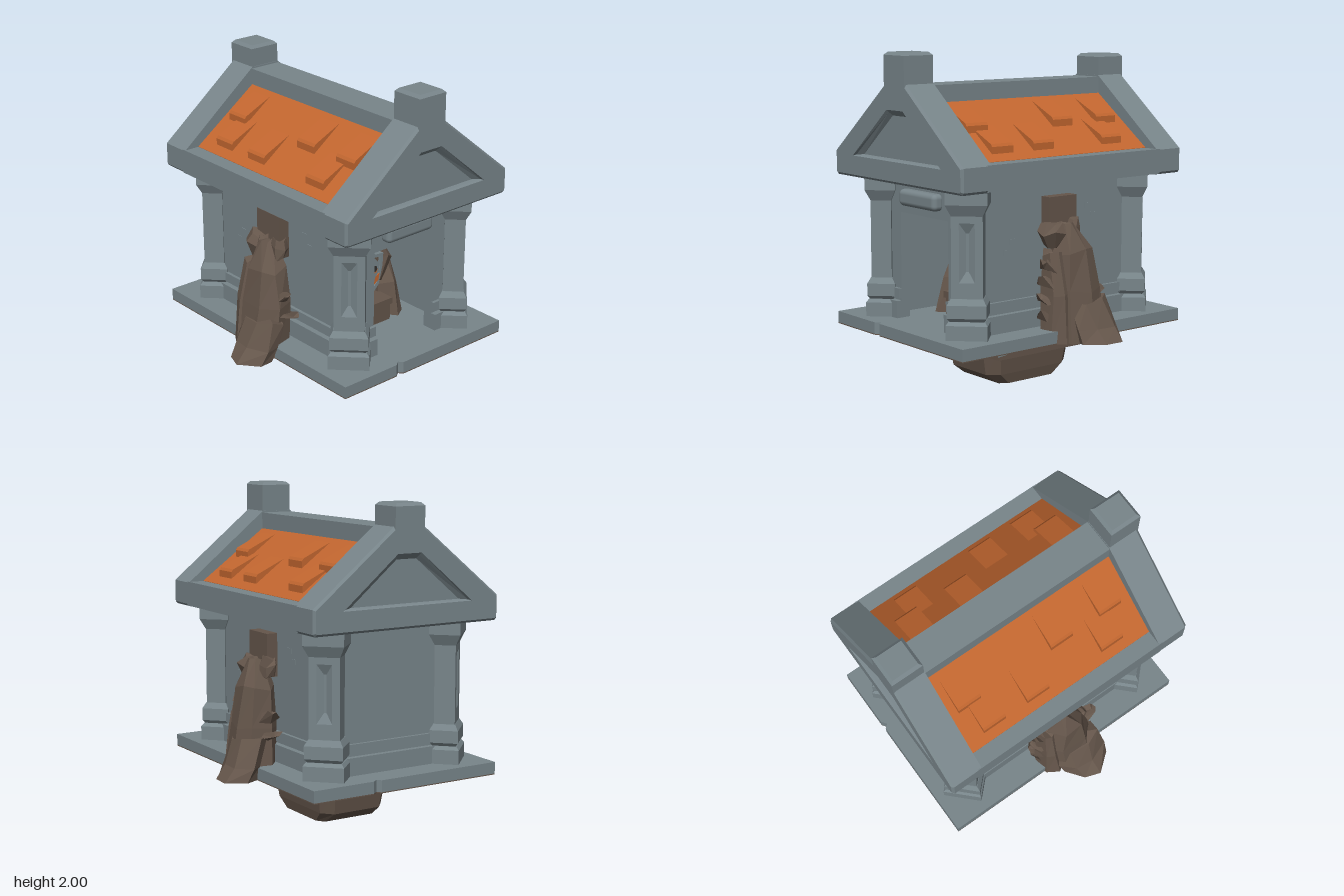
import * as THREE from 'three';
import { RoundedBoxGeometry } from 'three/addons/geometries/RoundedBoxGeometry.js';

function material(name, color) {
  const m = new THREE.MeshStandardMaterial({ color });
  m.name = name;
  return m;
}

// Flat-faced skin over rings of [x, y, z] points, with optional end caps
function loft(rings, startCap = true, endCap = true) {
  const pos = [], n = rings[0].length;
  const tri = (a, b, c) => pos.push(...a, ...b, ...c);
  for (let i = 0; i < rings.length - 1; i++) {
    for (let j = 0; j < n; j++) {
      const k = (j + 1) % n, r = rings[i], s = rings[i + 1];
      tri(r[j], r[k], s[k]);
      tri(r[j], s[k], s[j]);
    }
  }
  const first = rings[0], last = rings[rings.length - 1];
  for (let j = 1; j < n - 1; j++) {
    if (endCap) tri(last[0], last[j], last[j + 1]);
    if (startCap) tri(first[0], first[j + 1], first[j]);
  }
  const g = new THREE.BufferGeometry();
  g.setAttribute('position', new THREE.Float32BufferAttribute(pos, 3));
  g.computeVertexNormals();
  return g;
}

const poly = (pts) => new THREE.Shape(pts.map(([x, y]) => new THREE.Vector2(x, y)));

// Solid from z0 to z1; a bevel cuts the edges inward
function extrude(pts, z0, z1, hole, bevel = 0) {
  const shape = poly(pts);
  if (hole) shape.holes.push(poly(hole));
  const g = new THREE.ExtrudeGeometry(shape, {
    depth: z1 - z0 - 2 * bevel, bevelEnabled: bevel > 0, bevelThickness: bevel, bevelSize: bevel, bevelOffset: -bevel, bevelSegments: 1,
  });
  return g.translate(0, 0, z0 + bevel);
}

const box = (x0, x1, y0, y1, z0, z1) =>
  new THREE.BoxGeometry(x1 - x0, y1 - y0, z1 - z0).translate((x0 + x1) / 2, (y0 + y1) / 2, (z0 + z1) / 2);

// Sunken panel with sloping sides; points run counter-clockwise
const recess = (outer, inner, z, depth) =>
  loft([outer.map(([x, y]) => [x, y, z]), inner.map(([x, y]) => [x, y, z - depth])], false, true);

const mirrored = (half) => [...half, ...half.map(([x, y]) => [-x, y]).reverse()];

export function createModel() {
  const model = new THREE.Group();
  const stone = material('grey stone', 0x78858a);
  const rock = material('brown rock', 0x65564b);
  const orange = material('orange tile', 0xc2662f);
  const dark = material('dark hollow', 0x33302e);
  const add = (name, geo, mat, parent = model) => {
    const m = new THREE.Mesh(geo, mat);
    m.name = name;
    parent.add(m);
    return m;
  };

  let seed = 11;
  const rnd = () => (seed = (seed * 16807) % 2147483647) / 2147483647;
  // Jagged rock; levels are [y, centreX, centreZ, radiusX, radiusZ] from the bottom up
  const crag = (name, levels, parent, sides = 7) => {
    const turn = rnd() * 6;
    const rings = levels.map(([y, cx, cz, rx, rz]) => Array.from({ length: sides }, (_, j) => {
      const a = turn + ((j + rnd() * 0.3) / sides) * Math.PI * 2, k = 0.9 + rnd() * 0.22;
      return [cx + Math.cos(a) * rx * k, y + (y > 0.4 ? (rnd() - 0.5) * 0.04 : 0), cz - Math.sin(a) * rz * k];
    }));
    return add(name, loft(rings), rock, parent);
  };

  // Foundation rock and slab
  const footRing = (y, x1, x2, z1, z2) =>
    [[x1, -z1], [x2, -z2], [-x2, -z2], [-x1, -z1], [-x1, z1], [-x2, z2], [x2, z2], [x1, z1]].map(([x, z]) => [x, y, z]);
  add('foundationRock', loft([footRing(0, 0.205, 0.17, 0.17, 0.22), footRing(0.065, 0.22, 0.16, 0.24, 0.31),
    footRing(0.22, 0.24, 0.17, 0.26, 0.34)]), rock);
  add('foundationSlab', box(-0.415, 0.415, 0.22, 0.32, -0.415, 0.415), rock);
  for (let i = 0; i < 4; i++) {
    add('slabStoneVein', extrude([[-0.418, 0.24], [0.02, 0.295], [-0.418, 0.295]], 0.413, 0.419), stone)
      .rotation.y = i * Math.PI / 2;
  }

  // Floor with a small notch in its front and back edges
  const floor = [[-0.63, -0.84], [-0.235, -0.84], [-0.2, -0.815], [-0.18, -0.84], [0.63, -0.84],
    [0.63, 0.84], [0.235, 0.84], [0.2, 0.815], [0.18, 0.84], [-0.63, 0.84]];
  add('floorPlate', extrude(floor, 0.325, 0.395).rotateX(-Math.PI / 2), stone);
  add('floorUnderside', extrude(floor, 0.319, 0.325).rotateX(-Math.PI / 2), rock);

  // Walls with a doorway at the front
  const wx = 0.43, wz = 0.64;
  add('frontWall', extrude([[-wx, 0.39], [-0.235, 0.39], [-0.235, 1.04], [0.235, 1.04], [0.235, 0.39], [wx, 0.39], [wx, 1.25], [-wx, 1.25]],
    wz - 0.06, wz), stone);
  add('backWall', box(-wx, wx, 0.39, 1.25, -wz, -wz + 0.06), stone);
  for (const [y0, y1, out] of [[0.39, 0.5, 0.035], [0.515, 0.575, 0.02]]) {
    add('backMoulding', box(-wx, wx, y0, y1, -wz - out, -wz), stone);
    for (const s of [-1, 1]) {
      add('sideMoulding', box(-out / 2, out / 2, y0, y1, -wz, wz).translate(s * (wx + out / 2), 0, 0), stone);
      add('frontMoulding', box(-0.1, 0.1, y0, y1, wz, wz + out).translate(s * 0.335, 0, 0), stone);
    }
  }
  for (const s of [-1, 1]) {
    add('sideWall', box(-0.03, 0.03, 0.39, 1.25, -wz, wz).translate(s * (wx - 0.03), 0, 0), stone);
    for (const [y, z] of [[0.9, 0.33], [0.84, 0.37], [1.06, -0.25], [1.0, -0.3]]) {
      add('wallChip', box(-0.004, 0.004, y, y + 0.03, -0.02, 0.02).translate(s * wx, 0, s * z), stone);
    }
  }
  add('doorSign', new RoundedBoxGeometry(0.36, 0.1, 0.08, 3, 0.03).translate(0, 1.14, 0.66), stone);

  // Corner columns turned to the diagonal, with a sunken panel on the outer face
  const panelOuter = [[-0.045, 0.72], [0.045, 0.72], [0.045, 1.06], [-0.045, 1.06]];
  const panelInner = [[-0.008, 0.78], [0.008, 0.78], [0.008, 1.0], [-0.008, 1.0]];
  const ring = (y, e, cut = 0) =>
    [[0.12 + e, -0.092 - e], [-0.12 - e, -0.092 - e], [-0.12 - e, 0.092 + e - cut], [0.12 + e, 0.092 + e - cut]].map(([x, z]) => [x, y, z]);
  for (const sx of [-1, 1]) for (const sz of [-1, 1]) {
    const column = new THREE.Group();
    column.name = 'column';
    column.position.set(sx * 0.42, 0, sz * 0.637);
    column.rotation.y = Math.atan2(sx, sz);
    model.add(column);
    add('columnFoot', loft([ring(0.39, 0), ring(0.48, 0), ring(0.5, -0.015)]), stone, column);
    add('columnBase', loft([ring(0.5, -0.022), ring(0.52, -0.007), ring(0.595, -0.007), ring(0.63, -0.027)]), stone, column);
    add('columnShaft', loft([ring(0.6, -0.03, 0.03), ring(1.18, -0.03, 0.03)]), stone, column);
    add('columnCapital', loft([ring(1.1, -0.03), ring(1.165, 0), ring(1.25, 0)]), stone, column);
    add('panelFrame', extrude([[-0.09, 0.61], [0.09, 0.61], [0.09, 1.13], [-0.09, 1.13]], 0.032, 0.062, panelOuter), stone, column);
    add('panelRecess', recess(panelOuter, panelInner, 0.062, 0.025), stone, column);
  }

  // Roof body, then one tiled slope and gable per half turn
  const roofHalf = [[0.63, 1.25], [0.63, 1.4], [0.53, 1.4], [0.105, 1.705], [0.105, 1.81]];
  add('roofBody', extrude(mirrored(roofHalf), -0.66, 0.66), stone);
  const gable = mirrored([[0.615, 1.245], [0.63, 1.26], [0.63, 1.395], [0.1, 1.82]]);
  const gableOuter = [[-0.42, 1.38], [0.42, 1.38], [0.075, 1.655], [-0.075, 1.655]];
  const gableInner = [[-0.37, 1.385], [0.37, 1.385], [0.067, 1.635], [-0.067, 1.635]];
  const slopeY = (x) => 1.71 - (x - 0.105) * 0.7294;
  const tiles = [[0.14, 0.5], [0.14, -0.145], [0.14, -0.49], [0.29, 0.435], [0.29, 0.13], [0.29, -0.4]];
  for (const s of [1, -1]) {
    const half = new THREE.Group();
    half.name = s > 0 ? 'frontGableAndLeftSlope' : 'backGableAndRightSlope';
    half.rotation.y = s > 0 ? 0 : Math.PI;
    model.add(half);
    add('gableBody', extrude(gable, 0.635, 0.8), stone, half);
    add('gableFrame', extrude(gable, 0.78, 0.84, gableOuter, 0.014), stone, half);
    add('gableRecess', recess(gableOuter, gableInner, 0.826, 0.022), stone, half);
    // Square post with a chamfered top
    const top = s > 0 ? 2 : 1.95;
    const post = (y, e) => [[0.1 - e, 0.638 + e], [-0.1 + e, 0.638 + e], [-0.1 + e, 0.842 - e], [0.1 - e, 0.842 - e]].map(([x, z]) => [x, y, z]);
    add('gablePost', loft([post(1.8, 0), post(top - 0.018, 0), post(top, 0.018)]), stone, half);
    add('roofSlope', extrude([[0.105, 1.703], [0.53, 1.395], [0.53, 1.402], [0.105, 1.71]], -0.636, 0.636), orange, half);
    // Wedge tiles with a bevelled lower edge
    for (const [x, z] of tiles) {
      const e = x + 0.19, y = slopeY(e);
      add('roofTile', extrude([[x, slopeY(x)], [e, y], [e, y + 0.042], [e - 0.012, y + 0.058], [x, slopeY(x) + 0.002]], z - 0.077, z + 0.077), orange, half);
    }

    // Rock outcrop against the side wall
    add('outcropPost', box(0.4, 0.5, 0.9, 1.16, -0.105, 0.105), rock, half);
    crag('outcropPeak', [[0.32, 0.58, -0.04, 0.15, 0.18], [0.62, 0.56, -0.03, 0.13, 0.16], [0.84, 0.54, -0.03, 0.1, 0.13],
      [1.0, 0.52, 0, 0.05, 0.04]], half);
    crag('outcropBoulder', [[0.86, 0.49, 0.07, 0.05, 0.06], [0.95, 0.5, 0.08, 0.08, 0.1], [1.01, 0.49, 0.07, 0.05, 0.07]], half);
    crag('outcropKnob', [[0.9, 0.48, -0.08, 0.05, 0.05], [0.97, 0.48, -0.08, 0.055, 0.06], [1.01, 0.48, -0.08, 0.04, 0.04]], half, 6);
    crag('outcropToe', [[0.32, 0.71, -0.1, 0.13, 0.15], [0.4, 0.67, -0.09, 0.1, 0.16], [0.55, 0.61, -0.08, 0.09, 0.15]], half);
    crag('outcropSide', [[0.32, 0.57, 0.1, 0.12, 0.09], [0.6, 0.55, 0.1, 0.1, 0.07], [0.84, 0.52, 0.1, 0.07, 0.05]], half);
    for (const [y, z, dz] of [[0.45, 0.14, 0.05], [0.55, 0.15, 0.05], [0.65, 0.14, 0.05], [0.74, 0.12, 0.05], [0.55, -0.14, -0.14], [0.66, -0.14, -0.06]]) {
      crag('outcropSpike', [[y, 0.53, z, 0.08, 0.05], [y + 0.05, 0.53, z + dz, 0.03, 0.015]], half, 5);
    }
  }

  // Stone guardian inside the doorway
  const guardian = new THREE.Group();
  guardian.name = 'guardian';
  model.add(guardian);
  add('pedestal', box(-0.14, 0.14, 0.39, 0.52, 0.1, 0.38), rock, guardian);
  add('pedestalTop', box(-0.15, 0.15, 0.5, 0.54, 0.1, 0.39), rock, guardian);
  crag('guardianBody', [[0.5, 0, 0.2, 0.12, 0.1], [0.72, 0, 0.2, 0.17, 0.11], [0.88, 0, 0.2, 0.11, 0.09]], guardian);
  crag('guardianHead', [[0.86, 0, 0.24, 0.04, 0.04], [0.93, 0, 0.24, 0.05, 0.05], [1.0, 0, 0.24, 0.035, 0.035]], guardian);
  for (const s of [-1, 1]) {
    crag('guardianArm', [[0.62, s * 0.14, 0.24, 0.04, 0.05], [0.78, s * 0.18, 0.24, 0.06, 0.07], [0.9, s * 0.14, 0.22, 0.04, 0.05]], guardian);
    crag('innerRock', [[0.39, s * 0.22, 0.2, 0.1, 0.18], [0.6, s * 0.21, 0.19, 0.08, 0.14], [0.74, s * 0.22, 0.18, 0.05, 0.08]], guardian);
    add('shoulderPlate', box(-0.05, 0.05, -0.02, 0.02, 0.19, 0.3).rotateZ(-s * 0.5).translate(s * 0.16, 0.9, 0), stone, guardian);
  }
  add('hammerHead', new THREE.CylinderGeometry(0.05, 0.05, 0.16, 8).toNonIndexed().rotateZ(Math.PI / 2).translate(0.09, 0.96, 0.16), rock, guardian);
  add('orangeCrest', box(-0.16, -0.1, 0.97, 1.03, 0.16, 0.22), orange, guardian);

  // Shield with a rim and a skull face
  const shield = (k) => mirrored([[0.01, -0.17], [0.08, -0.1], [0.11, 0.02], [0.115, 0.1], [0.05, 0.105], [0.01, 0.145]])
    .map(([x, y]) => [x * k, 0.735 + y * k]);
  add('shieldRim', extrude(shield(1), 0.3, 0.34, shield(0.82)), stone, guardian);
  add('shieldBack', extrude(shield(0.9), 0.3, 0.32), rock, guardian);
  add('skull', extrude(mirrored([[0.035, 0.65], [0.045, 0.69], [0.075, 0.72], [0.075, 0.78], [0.04, 0.82]]), 0.32, 0.345), stone, guardian);
  add('jawGlow', extrude(mirrored([[0.035, 0.64], [0.075, 0.665], [0.085, 0.71], [0.045, 0.69]]), 0.335, 0.342), orange, guardian);
  for (const s of [-1, 1]) {
    const eye = (r, y, z) => new THREE.CylinderGeometry(r, r, 0.006, 8).rotateX(Math.PI / 2).translate(s * 0.036, y, z);
    add('eyeGlow', eye(0.025, 0.745, 0.346), orange, guardian);
    add('eyeSocket', eye(0.02, 0.752, 0.349), dark, guardian);
  }
  add('nose', extrude([[-0.012, 0.7], [0.012, 0.7], [0, 0.722]], 0.343, 0.349), dark, guardian);
  for (const x of [-0.02, 0, 0.02]) add('toothGap', box(x - 0.003, x + 0.003, 0.65, 0.68, 0.343, 0.349), orange, guardian);

  return model;
}
